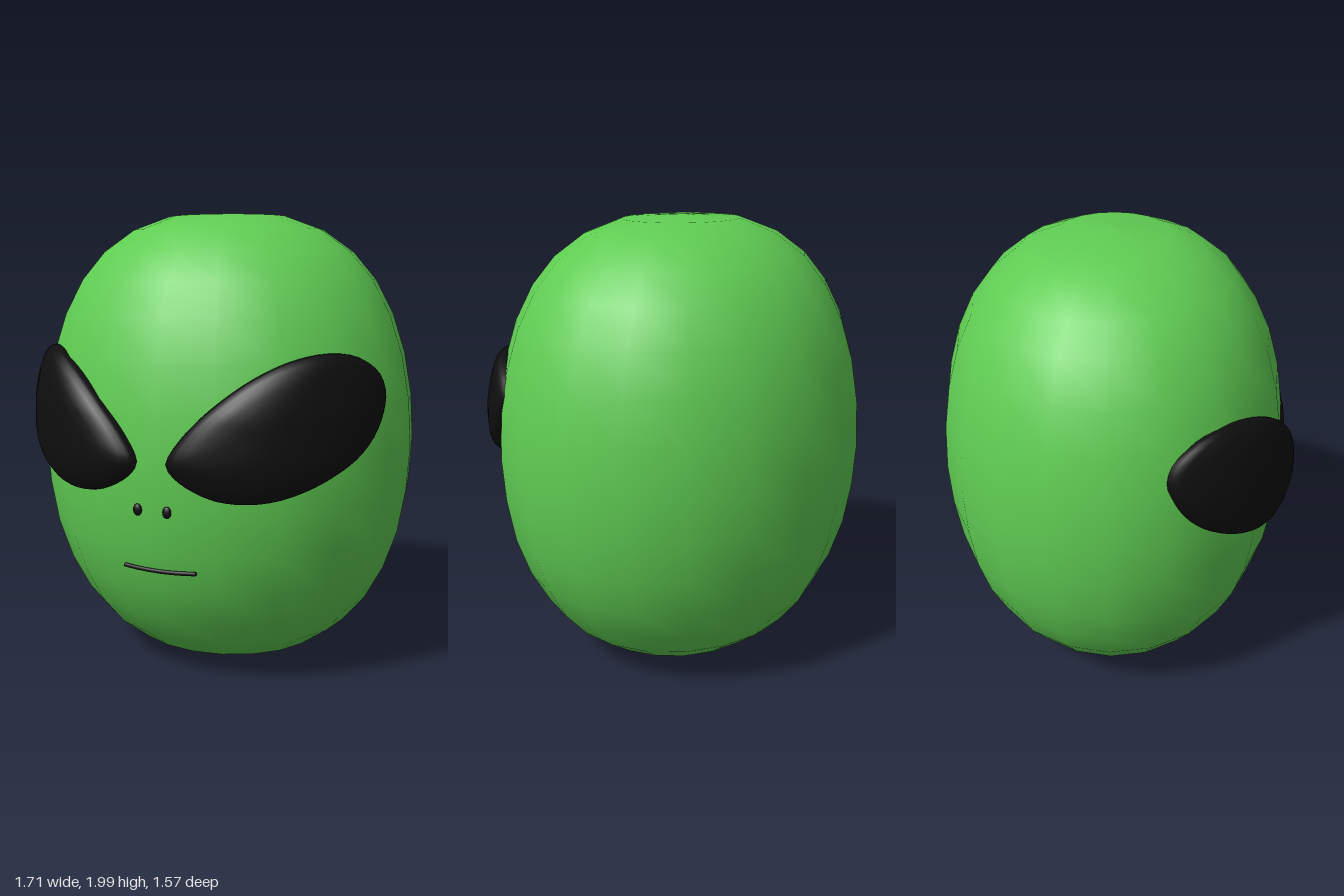
import * as THREE from 'three';

// Head profile from bottom to top: [radius, height]
const PROFILE = [
  [0, 0.01], [0.27, 0.025], [0.435, 0.08], [0.57, 0.178], [0.672, 0.3], [0.752, 0.45],
  [0.81, 0.62], [0.843, 0.81], [0.855, 1.0], [0.843, 1.2], [0.808, 1.39], [0.752, 1.56],
  [0.672, 1.71], [0.57, 1.83], [0.435, 1.925], [0.27, 1.985], [0, 2.0],
];
const DEPTH = 0.895; // head depth relative to its width
const Z0 = -0.01;    // head centre in z

function radiusAt(y) {
  let i = 1;
  while (i < PROFILE.length - 1 && PROFILE[i][1] < y) i++;
  const [r0, y0] = PROFILE[i - 1], [r1, y1] = PROFILE[i];
  return r0 + (r1 - r0) * (y - y0) / (y1 - y0);
}

// Point on the front of the head, raised along the surface normal
function onFace(x, y, raise = 0) {
  const r = radiusAt(y);
  const z = DEPTH * Math.sqrt(Math.max(r * r - x * x, 0));
  const slope = (radiusAt(y + 0.1) - radiusAt(y - 0.1)) / 0.2;
  const n = new THREE.Vector3(x, -r * slope, z / (DEPTH * DEPTH)).normalize();
  return new THREE.Vector3(x, y, z + Z0).addScaledVector(n, raise);
}

// Almond outline of the eye on the +x side, clockwise from the inner tip
const EYE = new THREE.CatmullRomCurve3([
  [0.065, 1.005], [0.12, 1.1], [0.25, 1.235], [0.4, 1.35], [0.52, 1.41], [0.62, 1.43],
  [0.7, 1.415], [0.76, 1.36], [0.79, 1.28], [0.795, 1.2], [0.775, 1.1], [0.74, 1.03],
  [0.7, 0.985], [0.6, 0.915], [0.48, 0.868], [0.37, 0.855], [0.25, 0.87], [0.14, 0.92], [0.085, 0.965],
].map(([x, y]) => new THREE.Vector3(x, y, 0)), true);

// Bulging eye: concentric rings of the outline laid over the head
function eyeGeometry(side) {
  const n = 64;
  const outline = EYE.getSpacedPoints(n).slice(0, n);
  const rings = [0.2, 0.4, 0.6, 0.75, 0.87, 0.95, 0.985, 1].map((s) => [s, 0.065 * Math.sqrt(1 - s ** 4)]);
  rings.push([1, -0.03]); // rim tucked into the head
  const cx = 0.43, cy = 1.13, pos = [], index = [];
  const add = (x, y, raise) => {
    const p = onFace(x, y, raise);
    pos.push(p.x * side, p.y, p.z);
  };
  const face = (a, b, c) => (side > 0 ? index.push(a, b, c) : index.push(a, c, b));
  add(cx, cy, 0.065);
  rings.forEach(([s, raise], k) => {
    outline.forEach((p, i) => {
      add(cx + (p.x - cx) * s, cy + (p.y - cy) * s, raise);
      const j = (i + 1) % n, a = 1 + k * n + i, b = 1 + k * n + j;
      if (k === 0) face(0, b, a);
      else {
        face(a - n, b - n, b);
        face(a - n, b, a);
      }
    });
  });
  const g = new THREE.BufferGeometry();
  g.setAttribute('position', new THREE.Float32BufferAttribute(pos, 3));
  g.setIndex(index);
  g.computeVertexNormals();
  return g;
}

export function createModel() {
  const group = new THREE.Group();
  const green = new THREE.MeshStandardMaterial({ name: 'green skin', color: 0x5fcc52 });
  const black = new THREE.MeshStandardMaterial({ name: 'black', color: 0x0e0e0e });
  const add = (name, geometry, material) => {
    const mesh = new THREE.Mesh(geometry, material);
    mesh.name = name;
    group.add(mesh);
    return mesh;
  };

  // Head
  const head = new THREE.LatheGeometry(PROFILE.map(([r, y]) => new THREE.Vector2(r, y)), 20);
  head.scale(1, 1, DEPTH).translate(0, 0, Z0);
  add('head', head, green);

  // Eyes and nostrils
  for (const [label, side] of [['left', 1], ['right', -1]]) {
    add(label + 'Eye', eyeGeometry(side), black);
    const nostril = add(label + 'Nostril', new THREE.SphereGeometry(1, 16, 10), black);
    nostril.scale.set(0.019, 0.025, 0.012);
    nostril.position.copy(onFace(0.065 * side, 0.81, 0.004));
  }

  // Mouth: a thin line following the face
  const points = [];
  for (let i = -4; i <= 4; i++) points.push(onFace(i * 0.039, 0.549 + 0.0003 * i * i, 0.006));
  const path = new THREE.CatmullRomCurve3(points);
  add('mouth', new THREE.TubeGeometry(path, 24, 0.009, 8), black);
  for (const p of [points[0], points[8]]) {
    add('mouthCorner', new THREE.SphereGeometry(0.009, 8, 6), black).position.copy(p);
  }
  return group;
}
